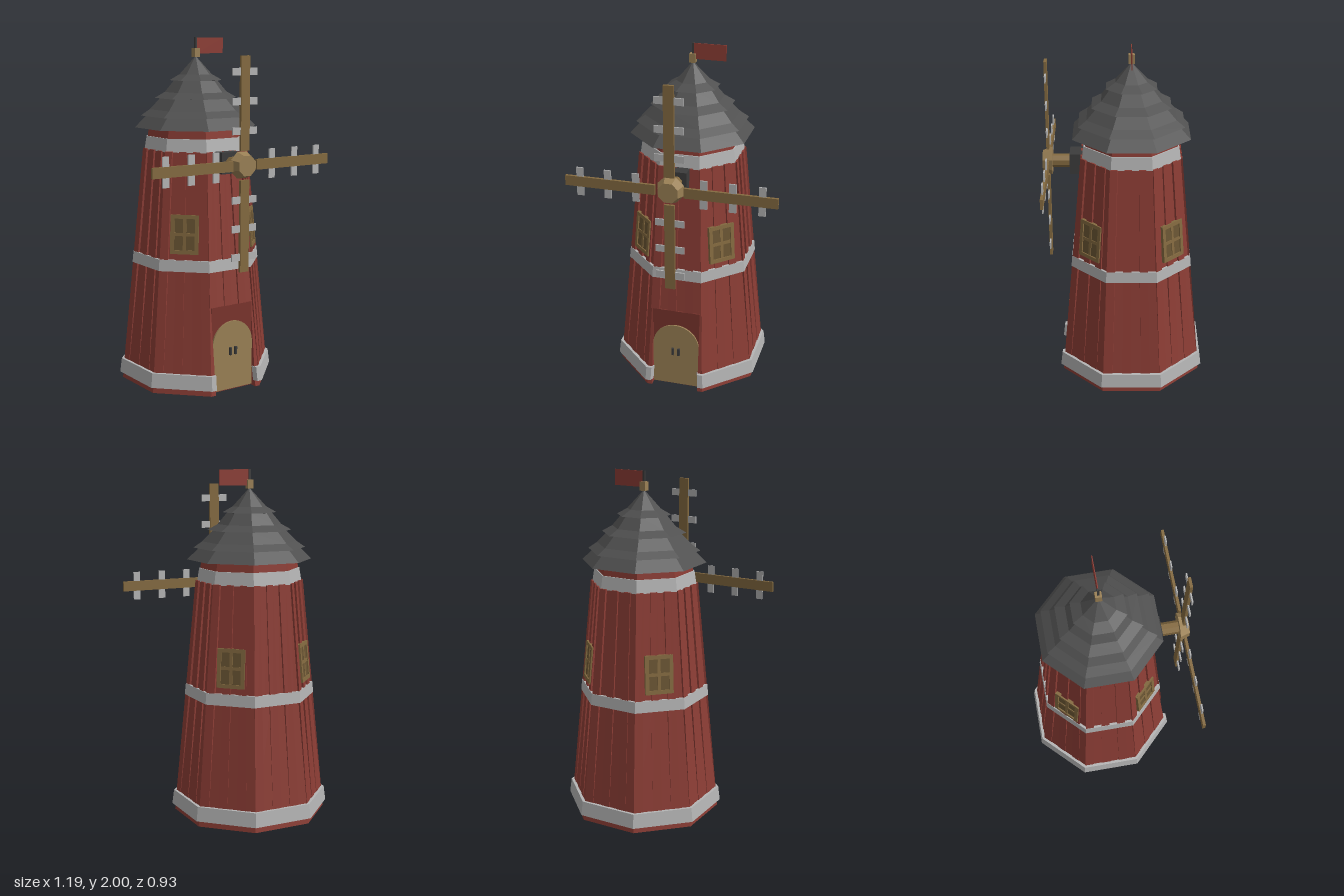
import * as THREE from 'three';
import { mergeGeometries } from 'three/addons/utils/BufferGeometryUtils.js';

const T = Math.tan(Math.PI / 8);
const paint = (color) => new THREE.MeshStandardMaterial({ color, flatShading: true });
const red = paint(0x8c3d35), darkRed = paint(0x7a342d), trim = paint(0xb4b4b4), slate = paint(0x505050);
const wood = paint(0x846a40), paleWood = paint(0x9a8055), paneWood = paint(0x6a5533), iron = paint(0x3c3c3c);

function add(parent, name, geometry, material, x = 0, y = 0, z = 0) {
  const mesh = new THREE.Mesh(geometry, material);
  mesh.name = name;
  mesh.position.set(x, y, z);
  parent.add(mesh);
  return mesh;
}
const box = (w, h, d) => new THREE.BoxGeometry(w, h, d);
const shape = (pts) => new THREE.Shape(pts.map((q) => new THREE.Vector2(...q)));

// Distance of the core wall and of the planking from the tower axis
const coreAt = (y) => 0.41 - 0.104 * y;
const plankAt = (y) => 0.4 - 0.0904 * (y - 0.12);

// Slab on one octagon face: u runs -1..1 across the face, ends are mitred
function slab(u0, u1, y0, y1, a0, a1, depth) {
  const g = box(1, 1, 1), p = g.attributes.position;
  for (let i = 0; i < p.count; i++) {
    const high = p.getY(i) > 0;
    const z = (high ? a1 : a0) - (p.getZ(i) > 0 ? 0 : depth);
    p.setXYZ(i, (p.getX(i) > 0 ? u1 : u0) * z * T, high ? y1 : y0, z);
  }
  g.computeVertexNormals();
  return g;
}

// Core wall of one face, optionally with the door opening
function wall(open) {
  const a = coreAt(0) * T, b = coreAt(1.49) * T;
  const pts = [[-a, 0]];
  if (open) pts.push([-0.14, 0], [-0.14, 0.5], [0.14, 0.5], [0.14, 0]);
  pts.push([a, 0], [b, 1.49], [-b, 1.49]);
  const g = new THREE.ShapeGeometry(shape(pts));
  const p = g.attributes.position;
  for (let i = 0; i < p.count; i++) p.setZ(i, coreAt(p.getY(i)));
  g.computeVertexNormals();
  return g;
}

function makeWindow() {
  const w = new THREE.Group();
  w.name = 'window';
  add(w, 'windowPane', box(0.14, 0.21, 0.02), paneWood);
  for (const s of [-1, 1]) {
    add(w, 'windowJamb', box(0.022, 0.22, 0.035), wood, s * 0.07);
    add(w, 'windowRail', box(0.14, 0.022, 0.035), wood, 0, s * 0.1);
  }
  add(w, 'windowMullion', box(0.018, 0.2, 0.028), wood);
  add(w, 'windowCrossbar', box(0.13, 0.018, 0.028), wood);
  w.position.set(0, 0.91, plankAt(0.91) - 0.009);
  w.rotation.x = -Math.atan(0.0904);
  return w;
}

function makeFace(k) {
  const face = new THREE.Group(), front = k === 0;
  face.name = 'towerSide';
  face.rotation.y = (k * Math.PI) / 4;
  add(face, 'wall', wall(front), red);
  // Planks of alternating depth; the front ones stop above the door
  const planks = [], n = 6, low = front ? 0.5 : 0.1;
  for (let i = 0; i < n; i++) {
    const off = i % 2 ? 0.011 : 0;
    planks.push(slab(-1 + (2 * i) / n, -1 + (2 * (i + 1)) / n, low, 1.37,
      plankAt(low) - off, plankAt(1.37) - off, 0.025));
  }
  add(face, 'planks', mergeGeometries(planks), red);
  // Pale bands at foot, middle and top
  const spans = front ? [[-1, -0.82], [0.82, 1]] : [[-1, 1]];
  for (const [u0, u1] of spans) add(face, 'footBand', slab(u0, u1, 0.035, 0.118, 0.425, 0.415, 0.03), trim);
  add(face, 'middleBand', slab(-1, 1, 0.7, 0.765, 0.35, 0.344, 0.03), trim);
  add(face, 'topBand', slab(-1, 1, 1.365, 1.44, 0.278, 0.267, 0.02), trim);
  if (k % 2) face.add(makeWindow());
  return face;
}

const nicheBack = 0.2;

function makeDoor() {
  const door = new THREE.Group();
  door.name = 'doorway';
  // Lining of the niche; the jambs follow the slope of the wall
  const jamb = shape([[-nicheBack, 0], [-nicheBack, 0.5], [-coreAt(0.5), 0.5], [-coreAt(0), 0]]);
  const lining = new THREE.ExtrudeGeometry(jamb, { depth: 0.008, bevelEnabled: false }).rotateY(Math.PI / 2);
  for (const x of [-0.148, 0.14]) add(door, 'nicheJamb', lining, red, x);
  add(door, 'nicheBack', box(0.28, 0.5, 0.01), darkRed, 0, 0.25, nicheBack - 0.005);
  add(door, 'nicheCeiling', box(0.28, 0.01, 0.15), darkRed, 0, 0.494, 0.275);
  add(door, 'doorSurround', box(0.28, 0.5, 0.02), darkRed, 0, 0.25, 0.355);
  const arch = new THREE.Shape();
  arch.moveTo(-0.138, 0.008);
  arch.lineTo(0.138, 0.008);
  arch.lineTo(0.138, 0.27);
  arch.absarc(0, 0.27, 0.138, 0, Math.PI);
  add(door, 'door', new THREE.ExtrudeGeometry(arch, { depth: 0.035, bevelEnabled: false, curveSegments: 16 }),
    paleWood, 0, 0, 0.34);
  for (const s of [-1, 1]) add(door, 'doorHandle', box(0.013, 0.045, 0.014), iron, s * 0.018, 0.233, 0.38);
  return door;
}

function makeSails() {
  const sails = new THREE.Group();
  sails.name = 'sails';
  sails.position.set(0, 1.31, 0);
  add(sails, 'axleMount', box(0.12, 0.12, 0.12), iron, 0, 0, 0.25);
  const turn = (r1, r2, len) => new THREE.CylinderGeometry(r1, r2, len, 8).rotateY(Math.PI / 8).rotateX(Math.PI / 2);
  add(sails, 'axle', turn(0.038, 0.038, 0.11), wood, 0, 0, 0.36);
  add(sails, 'hub', turn(0.06, 0.08, 0.055), paleWood, 0, 0, 0.437);
  for (let k = 0; k < 4; k++) {
    const sail = new THREE.Group();
    sail.name = 'sail';
    sail.rotation.z = (k * Math.PI) / 2;
    add(sail, 'sailArm', box(0.515, 0.058, 0.016), wood, 0.338, 0, 0.434);
    for (const x of [0.19, 0.35, 0.51]) add(sail, 'sailSlat', box(0.04, 0.165, 0.008), trim, x, 0, 0.434);
    sails.add(sail);
  }
  return sails;
}

export function createModel() {
  const model = new THREE.Group();
  model.name = 'windmill';
  const tower = new THREE.Group();
  tower.name = 'tower';
  tower.position.z = -0.04;
  model.add(tower);
  for (let k = 0; k < 8; k++) tower.add(makeFace(k));
  tower.add(makeDoor());

  // Underside with a notch below the door
  const a = coreAt(0), b = a * T;
  const outline = [[-0.14, a], [-0.14, nicheBack], [0.14, nicheBack], [0.14, a], [b, a], [a, b], [a, -b],
    [b, -a], [-b, -a], [-a, -b], [-a, b], [-b, a]];
  add(tower, 'floor', new THREE.ShapeGeometry(shape(outline)).rotateX(Math.PI / 2), darkRed);

  // Stepped eight-sided roof
  const profile = [[0, 1.488], [0.33, 1.49], [0.268, 1.555], [0.297, 1.557], [0.25, 1.592],
    [0.192, 1.655], [0.222, 1.657], [0.168, 1.69], [0.118, 1.755], [0.142, 1.757],
    [0.088, 1.79], [0, 1.895]];
  const points = profile.map(([r, y]) => new THREE.Vector2(r / Math.cos(Math.PI / 8), y));
  add(tower, 'roof', new THREE.LatheGeometry(points, 8, Math.PI / 8), slate);

  // Finial and flag
  add(tower, 'finial', box(0.035, 0.05, 0.035), paleWood, 0, 1.914, 0);
  add(tower, 'flagPole', box(0.012, 0.1, 0.012), iron, 0, 1.95, 0);
  add(tower, 'flag', box(0.188, 0.09, 0.005), red, 0.096, 1.953, 0);

  model.add(makeSails());
  return model;
}
